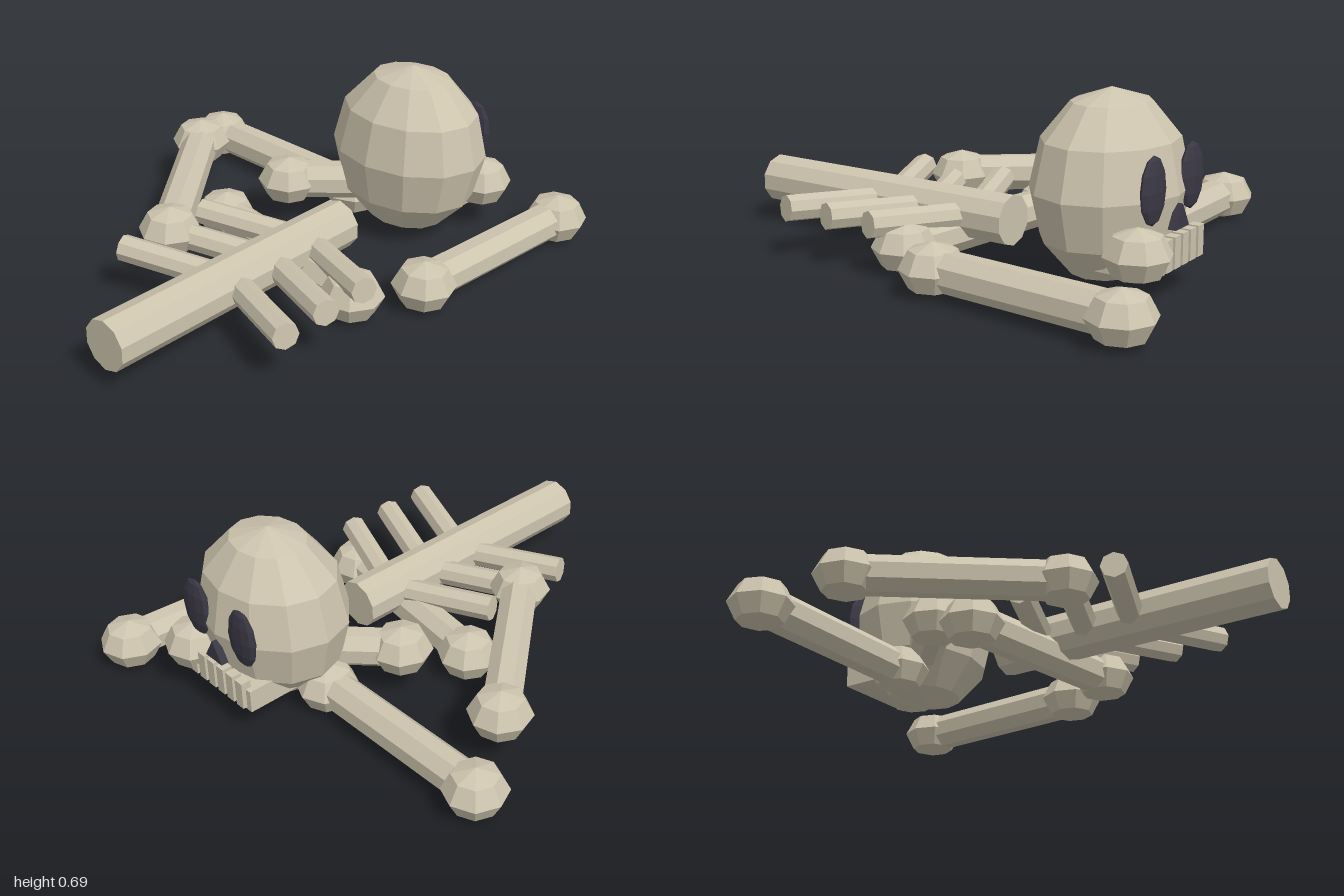
import * as THREE from 'three';

export function createModel() {
  const model = new THREE.Group();
  model.name = 'bonePile';
  const bone = new THREE.MeshStandardMaterial({ color: 0xcdc4ae });
  bone.name = 'bone';
  const dark = new THREE.MeshStandardMaterial({ color: 0x3b3845 });
  dark.name = 'socketDark';

  // Faceted mesh: every face gets its own normals
  function add(parent, name, geometry, material, x = 0, y = 0, z = 0) {
    const flat = geometry.toNonIndexed();
    flat.computeVertexNormals();
    const mesh = new THREE.Mesh(flat, material);
    mesh.name = name;
    mesh.position.set(x, y, z);
    parent.add(mesh);
    return mesh;
  }
  const ellipsoid = (rx, ry, rz, w, h) => new THREE.SphereGeometry(1, w, h).scale(rx, ry, rz);

  // Straight rod between two points
  function rod(parent, name, a, b, radius, sides) {
    const dir = b.clone().sub(a);
    const geometry = new THREE.CylinderGeometry(radius, radius, dir.length(), sides);
    geometry.rotateY(Math.PI / sides);
    const mesh = add(parent, name, geometry, bone);
    mesh.position.copy(a).add(b).multiplyScalar(0.5);
    mesh.quaternion.setFromUnitVectors(new THREE.Vector3(0, 1, 0), dir.normalize());
    return mesh;
  }

  // Loose limb bones: x, z of each end and the height of the bone
  const limbs = [
    [-0.75, -0.5, 0.02, -0.5, 0.1],
    [-0.61, -0.24, -0.13, 0.365, 0.198],
    [0.745, -0.88, 0.69, -0.12, 0.1],
    [0.455, -0.77, -0.1, -0.24, 0.198],
    [-0.2, 0.01, 0.55, 0.115, 0.1],
  ];
  for (const [x1, z1, x2, z2, y] of limbs) {
    const limb = new THREE.Group();
    limb.name = 'limbBone';
    model.add(limb);
    rod(limb, 'limbShaft', new THREE.Vector3(x1, y, z1), new THREE.Vector3(x2, y, z2), 0.074, 8);
    for (const [x, z] of [[x1, z1], [x2, z2]]) {
      const knob = add(limb, 'limbKnob', ellipsoid(0.12, 0.095, 0.12, 8, 4), bone, x, y, z);
      knob.rotation.y = Math.atan2(z1 - z2, x2 - x1);
    }
  }

  // Spine with three pairs of ribs
  const spine = new THREE.CylinderGeometry(0.095, 0.095, 1.15, 10).rotateX(Math.PI / 2);
  add(model, 'spine', spine, bone, 0.255, 0.17, 0.425);
  for (let i = 0; i < 3; i++) {
    for (const side of [-1, 1]) {
      const z = 0.03 + i * 0.195;
      rod(model, 'rib', new THREE.Vector3(0.255, 0.165, z),
        new THREE.Vector3(0.255 + side * 0.41, 0.196, z + 0.155), 0.05, 8);
    }
  }

  // Skull, facing the back
  const skull = new THREE.Group();
  skull.name = 'skull';
  skull.position.set(0.255, 0, -0.55);
  model.add(skull);
  add(skull, 'cranium', ellipsoid(0.318, 0.34, 0.263, 12, 6), bone, 0, 0.36, 0);
  add(skull, 'jaw', new THREE.BoxGeometry(0.37, 0.09, 0.27), bone, 0, 0.155, -0.125);
  for (const side of [-1, 1]) {
    add(skull, 'eyeSocket', ellipsoid(0.078, 0.118, 0.024, 10, 6), dark, side * 0.135, 0.4, -0.237);
  }

  // Triangular nose opening
  const nose = new THREE.CylinderGeometry(0.055, 0.055, 0.03, 3).rotateX(-Math.PI / 2);
  nose.rotateZ(Math.PI);
  nose.computeBoundingBox();
  if (nose.boundingBox.max.y < 0.05) nose.rotateZ(Math.PI);
  add(skull, 'noseHole', nose, dark, 0, 0.28, -0.262);

  // Row of teeth
  for (let i = 0; i < 6; i++) {
    add(skull, 'tooth', new THREE.BoxGeometry(0.04, 0.11, 0.04), bone, (i - 2.5) * 0.056, 0.175, -0.257);
  }
  return model;
}
